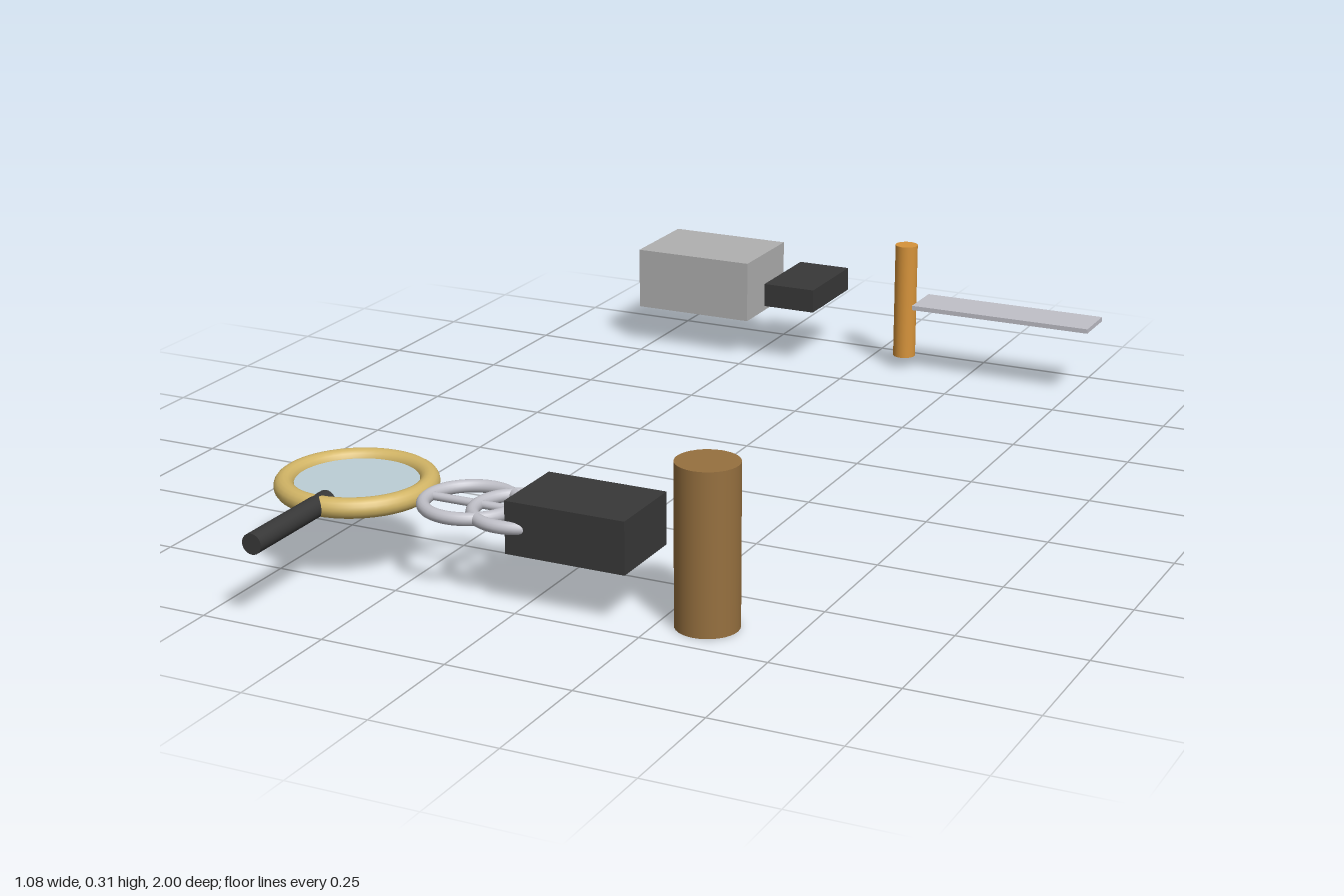
import * as THREE from 'three';

const MID = 0.157; // common height of all part centres
const FRONT = 0.65; // z of the front row
const BACK = -0.897; // z of the back row

export function createModel() {
  const group = new THREE.Group();
  const material = (color) => new THREE.MeshStandardMaterial({ color });
  const brass = material(0xd2b566);
  const steel = material(0xc0c0c8);
  const dark = material(0x383838);
  const wood = material(0x96703f);
  const amber = material(0xd6933a);
  const grey = material(0xb0b0b0);
  const glass = material(0xbccfd6);

  const add = (name, geometry, mat, x, z) => {
    const mesh = new THREE.Mesh(geometry, mat);
    mesh.name = name;
    mesh.position.set(x, MID, z);
    group.add(mesh);
    return mesh;
  };
  const flatRing = (radius, tube) =>
    new THREE.TorusGeometry(radius, tube, 16, 48).rotateX(Math.PI / 2);

  // Magnifying lens: rim, glass and a handle running through the rim
  const lensX = -0.388;
  add('lensRim', flatRing(0.136, 0.0195), brass, lensX, FRONT);
  add('lensGlass', new THREE.CylinderGeometry(0.128, 0.128, 0.01, 48), glass, lensX, FRONT);
  add('lensHandle', new THREE.CylinderGeometry(0.02, 0.02, 0.245, 24).rotateX(Math.PI / 2),
    dark, lensX, 0.8775);

  // Two overlapping rings, with a bar across the first
  for (const [i, x] of [-0.145, -0.041].entries()) {
    add(`linkRing${i + 1}`, flatRing(0.087, 0.0125), steel, x, FRONT);
  }
  add('linkBar', new THREE.CylinderGeometry(0.008, 0.008, 0.174, 16).rotateZ(Math.PI / 2),
    steel, -0.145, FRONT);

  // Dark case and upright wooden cylinder
  add('case', new THREE.BoxGeometry(0.241, 0.102, 0.168), dark, 0.0945, FRONT);
  add('woodenCylinder', new THREE.CylinderGeometry(0.06, 0.06, 0.313, 32), wood, 0.337, FRONT);

  // Back row: large block, small block, amber rod and thin blade
  add('largeBlock', new THREE.BoxGeometry(0.274, 0.136, 0.203), grey, -0.388, BACK);
  add('smallBlock', new THREE.BoxGeometry(0.12, 0.052, 0.203), dark, -0.148, BACK);
  add('amberRod', new THREE.CylinderGeometry(0.025, 0.025, 0.259, 24), amber, 0.095, BACK);
  add('blade', new THREE.BoxGeometry(0.41, 0.01, 0.102), steel, 0.336, BACK);

  return group;
}
